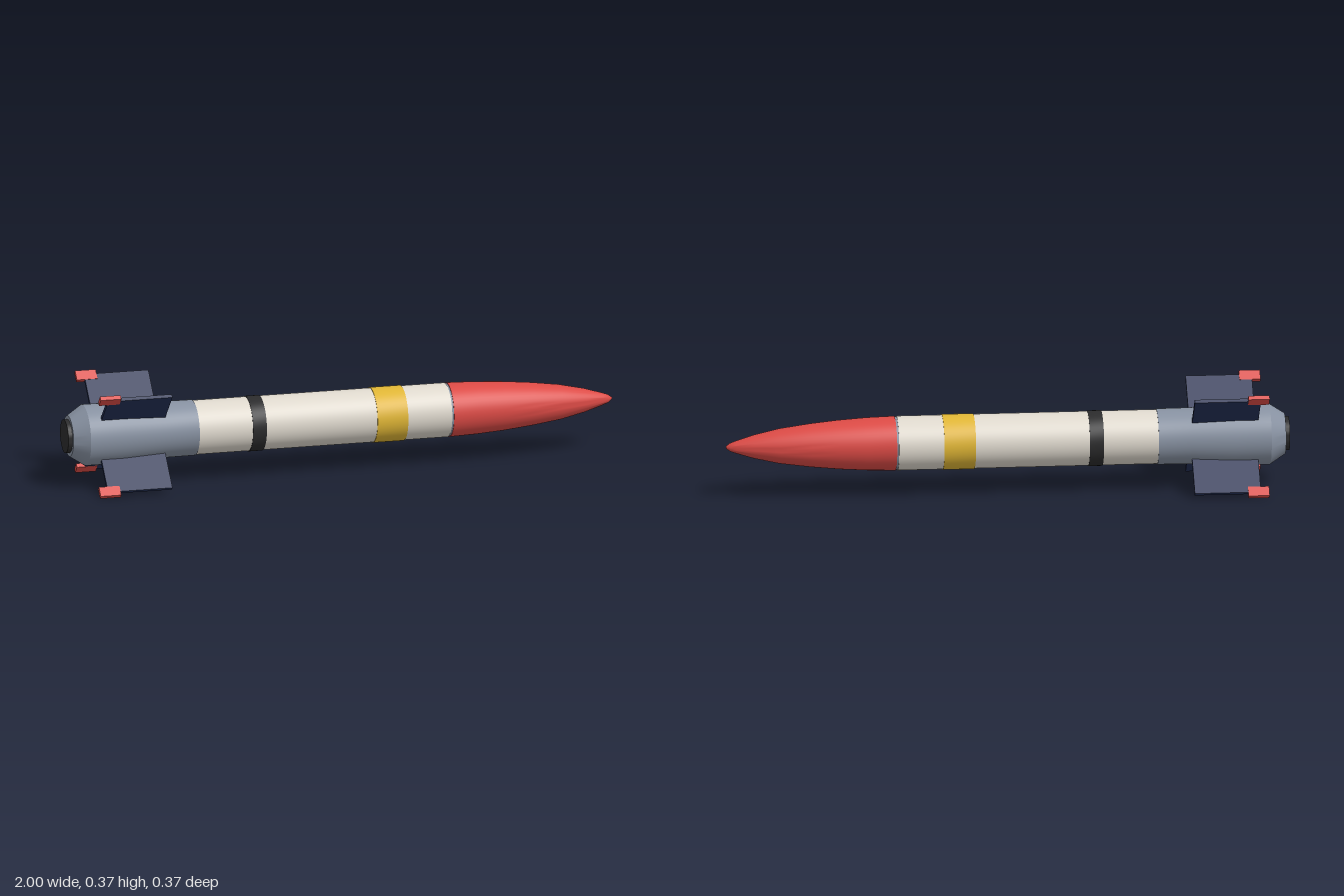
import * as THREE from 'three';
import { toCreasedNormals } from 'three/addons/utils/BufferGeometryUtils.js';

const AXIS_Y = 0.188;

function mat(name, color) {
  const m = new THREE.MeshStandardMaterial({ color });
  m.name = name;
  return m;
}

export function createModel() {
  const white = mat('offWhite', 0xded8cd);
  const red = mat('red', 0xdb4a45);
  const navy = mat('navy', 0x232f55);
  const grey = mat('blueGrey', 0x8791a1);
  const yellow = mat('yellow', 0xdfb535);
  const black = mat('black', 0x2b2b2c);

  const rocket = new THREE.Group();
  rocket.name = 'rocket';
  rocket.position.y = AXIS_Y;

  // Turned part along x; profile is a list of [x, radius] from tail to nose, capped at both ends
  function turned(name, profile, material) {
    const ends = [[profile[0][0], 0], ...profile, [profile[profile.length - 1][0], 0]];
    const geo = new THREE.LatheGeometry(ends.map(([x, r]) => new THREE.Vector2(r, x)), 48);
    geo.rotateZ(-Math.PI / 2);
    const mesh = new THREE.Mesh(toCreasedNormals(geo, 0.4), material);
    mesh.name = name;
    rocket.add(mesh);
  }

  // Body, seam and painted bands
  turned('bodyTube', [[-0.54, 0.0965], [0.393, 0.0965]], white);
  turned('noseSeam', [[0.39, 0.094], [0.405, 0.094]], grey);
  turned('darkBand', [[-0.335, 0.0985], [-0.285, 0.0985]], black);
  turned('yellowBand', [[0.12, 0.0985], [0.232, 0.0985]], yellow);

  // Nose cone with a blunt tip
  turned('noseCone', [[0.4, 0.0965], [0.5, 0.0935], [0.6, 0.087], [0.7, 0.077],
    [0.81, 0.062], [0.9, 0.042], [0.965, 0.022], [0.985, 0.015], [1, 0.004]], red);

  // Tail section and engine nozzle
  turned('tailSection', [[-0.985, 0.073], [-0.93, 0.109], [-0.8, 0.109],
    [-0.65, 0.1], [-0.53, 0.099]], grey);
  turned('nozzle', [[-1, 0.06], [-0.975, 0.06]], black);

  // Four diagonal fins, each with a red tip at its rear outer corner
  for (let i = 0; i < 4; i++) {
    const fin = new THREE.Group();
    fin.name = 'fin' + (i + 1);
    fin.rotation.x = Math.PI / 4 + i * Math.PI / 2;

    const blade = new THREE.Mesh(new THREE.BoxGeometry(0.235, 0.16, 0.013), navy);
    blade.name = 'finBlade';
    blade.position.set(-0.7675, 0.161, 0);

    const tip = new THREE.Mesh(new THREE.BoxGeometry(0.075, 0.038, 0.016), red);
    tip.name = 'finTip';
    tip.position.set(-0.8775, 0.238, 0);

    fin.add(blade, tip);
    rocket.add(fin);
  }

  const model = new THREE.Group();
  model.name = 'model';
  model.add(rocket);
  return model;
}
